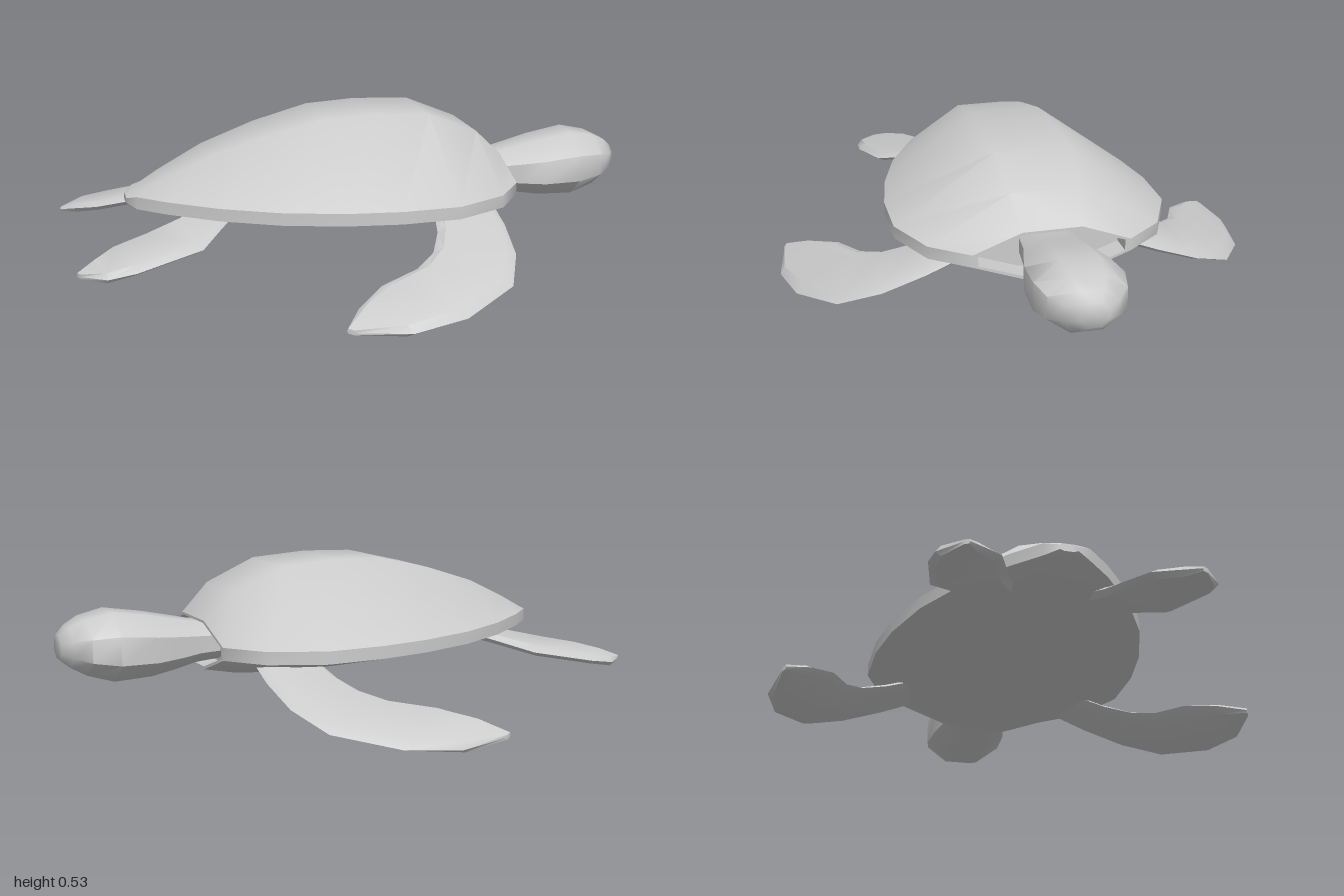
import * as THREE from 'three';
import { toCreasedNormals } from 'three/addons/utils/BufferGeometryUtils.js';

const material = new THREE.MeshStandardMaterial({ color: 0xcccccc });

// Skins a row of equal-length rings of [x, y, z] points and caps both ends
function loft(name, rings, crease) {
  const n = rings[0].length;
  const last = rings.length - 1;
  const pos = rings.flat(2);
  const index = [];
  for (let i = 0; i < last; i++) {
    for (let j = 0; j < n; j++) {
      const k = (j + 1) % n;
      const a = i * n + j, b = i * n + k, c = b + n, d = a + n;
      index.push(a, b, d, b, c, d);
    }
  }
  for (const end of [0, last]) {
    const centre = pos.length / 3;
    for (let axis = 0; axis < 3; axis++) {
      pos.push(rings[end].reduce((sum, p) => sum + p[axis], 0) / n);
    }
    for (let j = 0; j < n; j++) {
      const a = end * n + j, b = end * n + (j + 1) % n;
      if (end === 0) index.push(centre, b, a);
      else index.push(centre, a, b);
    }
  }
  const geometry = new THREE.BufferGeometry();
  geometry.setAttribute('position', new THREE.Float32BufferAttribute(pos, 3));
  geometry.setIndex(index);
  const mesh = new THREE.Mesh(toCreasedNormals(geometry, crease), material);
  mesh.name = name;
  return mesh;
}

// Shell: flat back and belly, sloping sides, thin upright rim
function shell() {
  // x, half width, top y, bottom y, half width of the flat back
  const stations = [
    [-0.80, 0.03, 0.278, 0.252, 0.015],
    [-0.77, 0.075, 0.295, 0.24, 0.03],
    [-0.68, 0.16, 0.34, 0.215, 0.06],
    [-0.52, 0.28, 0.415, 0.195, 0.09],
    [-0.33, 0.38, 0.477, 0.178, 0.112],
    [-0.13, 0.443, 0.525, 0.166, 0.125],
    [0.05, 0.472, 0.532, 0.158, 0.13],
    [0.25, 0.472, 0.52, 0.155, 0.13],
    [0.43, 0.392, 0.445, 0.168, 0.12],
    [0.53, 0.265, 0.35, 0.185, 0.1],
  ];
  const rings = stations.map(([x, w, top, bottom, flat]) => {
    const high = Math.min(0.288, top - 0.005);
    const low = Math.max(0.245, bottom + 0.005);
    return [
      [x, top, -flat], [x, top, flat], [x, high, w], [x, low, w],
      [x, bottom, flat], [x, bottom, -flat], [x, low, -w], [x, high, -w],
    ];
  });
  // Recessed neck opening
  const front = rings[rings.length - 1];
  for (const x of [0.53, 0.45]) {
    rings.push(front.map(([, y, z]) => [x, 0.27 + (y - 0.27) * 0.9, z * 0.93]));
  }
  return loft('shell', rings, 0.7);
}

// Neck and head: octagons along x
function head() {
  // x, centre y, half height, half width
  const stations = [
    [0.43, 0.268, 0.06, 0.09],
    [0.54, 0.27, 0.07, 0.1],
    [0.61, 0.27, 0.085, 0.118],
    [0.70, 0.272, 0.102, 0.138],
    [0.83, 0.28, 0.115, 0.145],
    [0.92, 0.284, 0.092, 0.125],
    [0.97, 0.286, 0.066, 0.085],
    [1.00, 0.286, 0.04, 0.045],
  ];
  const grow = 1 / Math.cos(Math.PI / 8);
  const rings = stations.map(([x, cy, h, w]) =>
    Array.from({ length: 8 }, (_, j) => {
      const a = ((j + 0.5) * Math.PI) / 4;
      return [x, cy + h * grow * Math.cos(a), w * grow * Math.sin(a)];
    }));
  return loft('head', rings, 0.9);
}

// Flipper: bevelled slab between leading and trailing edge points [x, z],
// laid on the sloping plane given by height(x, z)
function flipper(name, side, pairs, height, thickness) {
  const rings = pairs.map(([lx, lz, tx, tz], i) => {
    const t = (thickness / 2) * (i === pairs.length - 1 ? 0.45 : 1);
    const point = (f, dy) => {
      const x = lx + (tx - lx) * f;
      const z = lz + (tz - lz) * f;
      return [x, height(x, z) + dy, z * side];
    };
    const ring = [
      point(0, 0), point(0.12, t), point(0.88, t),
      point(1, 0), point(0.88, -t), point(0.12, -t),
    ];
    return side < 0 ? ring.reverse() : ring;
  });
  return loft(name, rings, 0.6);
}

export function createModel() {
  const turtle = new THREE.Group();
  turtle.name = 'seaTurtle';
  turtle.add(shell(), head());

  // Each row: leading x, z, trailing x, z, from root to tip
  const frontOutline = [
    [0.43, 0.27, 0.22, 0.27],
    [0.435, 0.40, 0.19, 0.41],
    [0.42, 0.545, 0.145, 0.50],
    [0.355, 0.685, 0.07, 0.565],
    [0.16, 0.80, -0.07, 0.625],
    [-0.03, 0.838, -0.17, 0.71],
    [-0.21, 0.808, -0.232, 0.795],
  ];
  const rearOutline = [
    [-0.47, 0.22, -0.52, 0.08],
    [-0.52, 0.285, -0.66, 0.155],
    [-0.60, 0.395, -0.78, 0.195],
    [-0.82, 0.44, -0.88, 0.23],
    [-0.91, 0.435, -0.95, 0.30],
    [-0.99, 0.37, -1.00, 0.35],
  ];
  for (const [label, side] of [['left', -1], ['right', 1]]) {
    turtle.add(
      flipper(label + 'FrontFlipper', side, frontOutline,
        (x, z) => 0.018 + (0.838 - z) * 0.385, 0.036),
      flipper(label + 'RearFlipper', side, rearOutline,
        (x, z) => 0.132 + (x + 1) * 0.165 - (z - 0.35) * 0.13, 0.034),
    );
  }
  return turtle;
}
